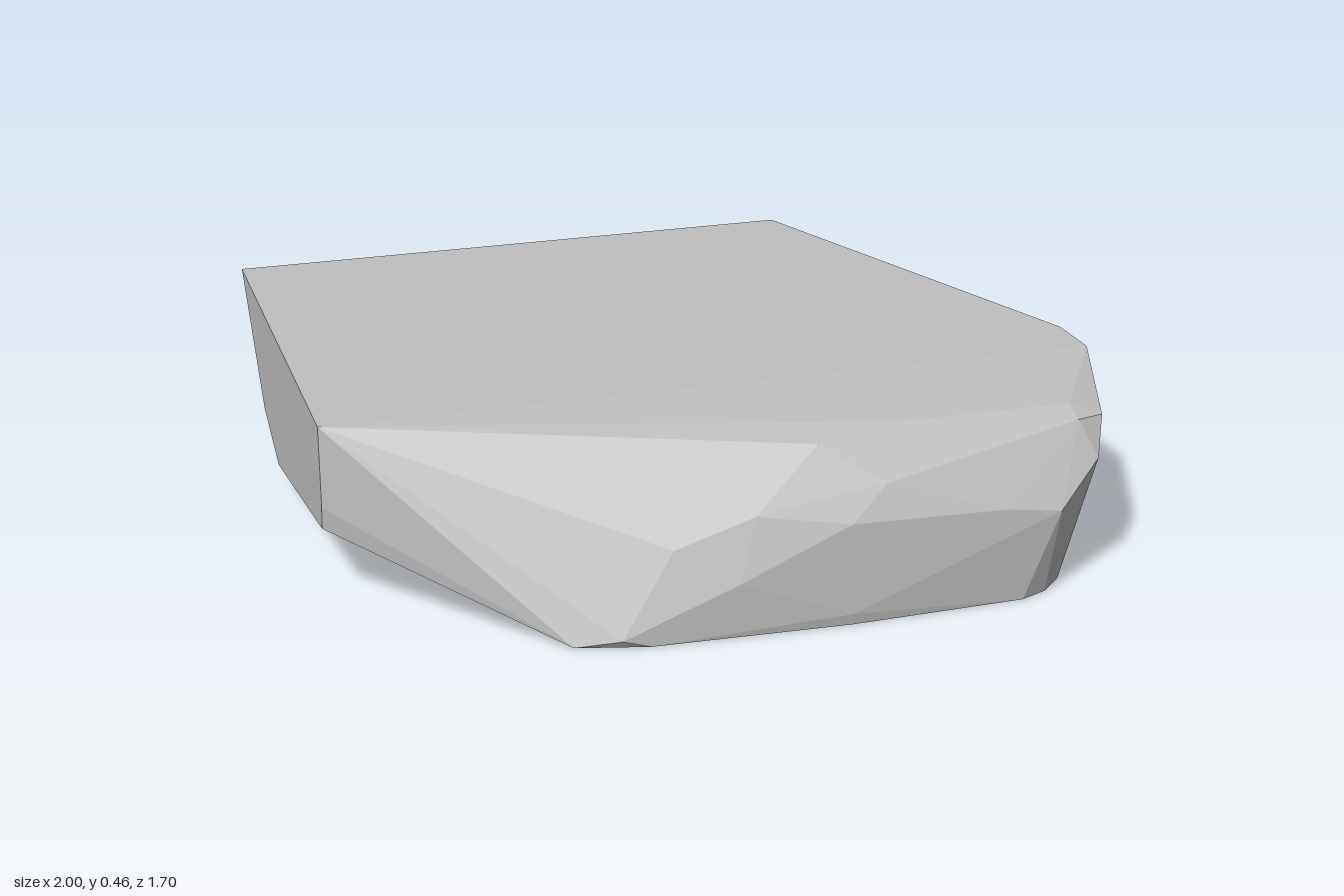
import * as THREE from 'three';
import { ConvexGeometry } from 'three/addons/geometries/ConvexGeometry.js';

const TOP = 0.46;

// Corner loops of the cut stone; the flat faces are their convex hull.
const topOutline = [[-1, -0.85], [0.54, -0.85], [0.99, 0.21], [1, 0.36], [-1, 0.35]];
const baseOutline = [
  [-0.2, -0.85], [0.73, -0.85], [0.81, -0.67], [0.86, 0.04], [0.78, 0.74], [0.72, 0.8], [0.65, 0.83],
  [0.2, 0.845], [-0.3, 0.825], [-0.48, 0.78], [-0.67, -0.41],
];
// Lower corners of the flat side at x = -1, as [y, z]
const sideCut = [[0.16, -0.55], [0.08, -0.34], [0.19, 0.345], [0.25, 0.355]];
// Rounded, chipped front
const frontChips = [
  [0.9, 0.41, 0.69], [0.86, 0.33, 0.77], [0.74, 0.23, 0.837],
  [0.82, 0.44, 0.67], [0.38, 0.443, 0.67], [0.82, 0.42, 0.73], [0.15, 0.425, 0.71],
  [0.3, 0.34, 0.795], [0.6, 0.25, 0.835], [0.2, 0.26, 0.833],
  [-0.03, 0.29, 0.79], [-0.23, 0.22, 0.775], [-0.08, 0.14, 0.835],
  [0.2, 0.03, 0.85], [-0.37, 0.02, 0.82],
];

export function createModel() {
  const group = new THREE.Group();
  group.name = 'rock';

  const stone = new THREE.MeshStandardMaterial({ color: 0xbfbfbf });
  stone.name = 'grey stone';
  stone.flatShading = true;

  const corners = [
    ...topOutline.map(([x, z]) => new THREE.Vector3(x, TOP, z)),
    ...baseOutline.map(([x, z]) => new THREE.Vector3(x, 0, z)),
    ...sideCut.map(([y, z]) => new THREE.Vector3(-1, y, z)),
    ...frontChips.map((p) => new THREE.Vector3(...p)),
  ];
  const block = new THREE.Mesh(new ConvexGeometry(corners), stone);
  block.name = 'stoneBlock';
  group.add(block);
  return group;
}
